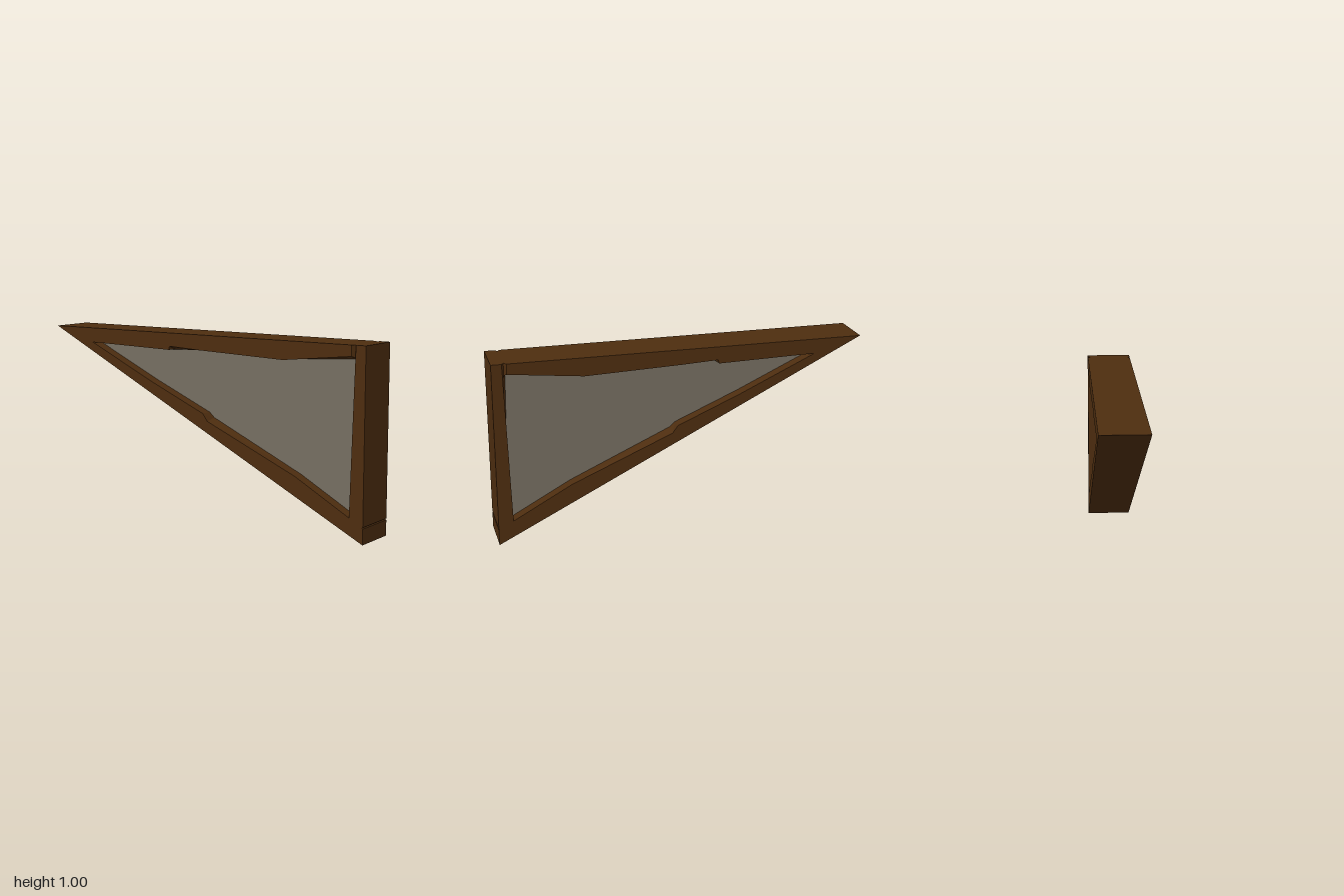
import * as THREE from 'three';
import { mergeGeometries } from 'three/addons/utils/BufferGeometryUtils.js';

const HALF = 0.125, PANE = 0.06, GROOVE = 0.105;

// Outer outline, from the post side of the joint groove round to the beam side;
// small nick on the post where it meets the sloping beam
const outer = [[0.945, 1], [1, 1], [1, 0.091], [0.995, 0.087], [1, 0.083], [1, 0], [-1, 1], [0.92, 1]];

// Roughly hewn opening at the frame faces, from beam side to post side of the groove
const inner = [[0.92, 0.943], [0.52, 0.9], [0, 0.918], [-0.2, 0.928], [-0.206, 0.908], [-0.74, 0.92],
  [-0.33, 0.73], [0.02, 0.58], [0.05, 0.54], [0.6, 0.305], [0.92, 0.13], [0.93, 0.5], [0.942, 0.925]];

// The same opening where it meets the pane
const middle = inner.map((p) => [...p]);
middle[0] = [0.919, 0.925];
middle[3] = [-0.2, 0.906];
middle[4] = [-0.206, 0.905];
middle[8] = [0.05, 0.553];
middle[12] = [0.921, 0.924];

const shapeOf = (pts) => new THREE.Shape(pts.map(([x, y]) => new THREE.Vector2(x, y)));
const at = (pts, z) => pts.map(([x, y]) => [x, y, z]);

// Flat-shaded strip of quads between two point rows
function strip(a, b, closed = false) {
  const pos = [];
  const n = a.length;
  for (let i = 0; i < (closed ? n : n - 1); i++) {
    const j = (i + 1) % n;
    pos.push(...a[i], ...b[i], ...b[j], ...a[i], ...b[j], ...a[j]);
  }
  const g = new THREE.BufferGeometry();
  g.setAttribute('position', new THREE.Float32BufferAttribute(pos, 3));
  g.computeVertexNormals();
  return g;
}

// Front or back face of the frame with its joint groove and inner reveal
function frameSide(s) {
  const face = new THREE.ShapeGeometry(shapeOf([...outer, ...inner])).toNonIndexed();
  face.deleteAttribute('uv');
  if (s < 0) face.scale(1, 1, -1);
  face.translate(0, 0, s * HALF);
  if (s < 0) {
    // restore the winding after the flip
    const p = face.attributes.position, a = new THREE.Vector3(), b = new THREE.Vector3();
    for (let i = 0; i < p.count; i += 3) {
      a.fromBufferAttribute(p, i + 1);
      b.fromBufferAttribute(p, i + 2);
      p.setXYZ(i + 1, b.x, b.y, b.z);
      p.setXYZ(i + 2, a.x, a.y, a.z);
    }
  }
  face.computeVertexNormals();

  const bottom = [0.933, 0.934, s * GROOVE];
  const front = [...at(inner, s * HALF), bottom];
  const back = [...at(middle, s * PANE), [0.92, 0.925, s * PANE]];
  const reveal = s > 0 ? strip(front, back, true) : strip(back, front, true);

  const topRow = [[0.92, 1, s * HALF], [0.933, 1, s * GROOVE], [0.945, 1, s * HALF]];
  const lowRow = [[...inner[0], s * HALF], bottom, [...inner[12], s * HALF]];
  const groove = s > 0 ? strip(topRow, lowRow) : strip(lowRow, topRow);
  return [face, reveal, groove];
}

export function createModel() {
  const wood = new THREE.MeshStandardMaterial({ color: 0x4d2d0f, side: THREE.DoubleSide });
  wood.name = 'dark wood';
  const glass = new THREE.MeshStandardMaterial({ color: 0x756e61 });
  glass.name = 'smoky glass';

  const group = new THREE.Group();
  group.name = 'triangularWindow';

  // Outer walls, dipping into the groove at the top
  const rim = (s) => [...at(outer, s * HALF), [0.933, 1, s * GROOVE]];
  const walls = strip(rim(-1), rim(1), true);

  const frame = new THREE.Mesh(mergeGeometries([...frameSide(1), ...frameSide(-1), walls]), wood);
  frame.name = 'frame';
  group.add(frame);

  // Pane set back from both faces
  const paneGeo = new THREE.ExtrudeGeometry(shapeOf(middle), { depth: PANE * 2, bevelEnabled: false });
  paneGeo.translate(0, 0, -PANE);
  const pane = new THREE.Mesh(paneGeo, glass);
  pane.name = 'pane';
  group.add(pane);
  return group;
}
